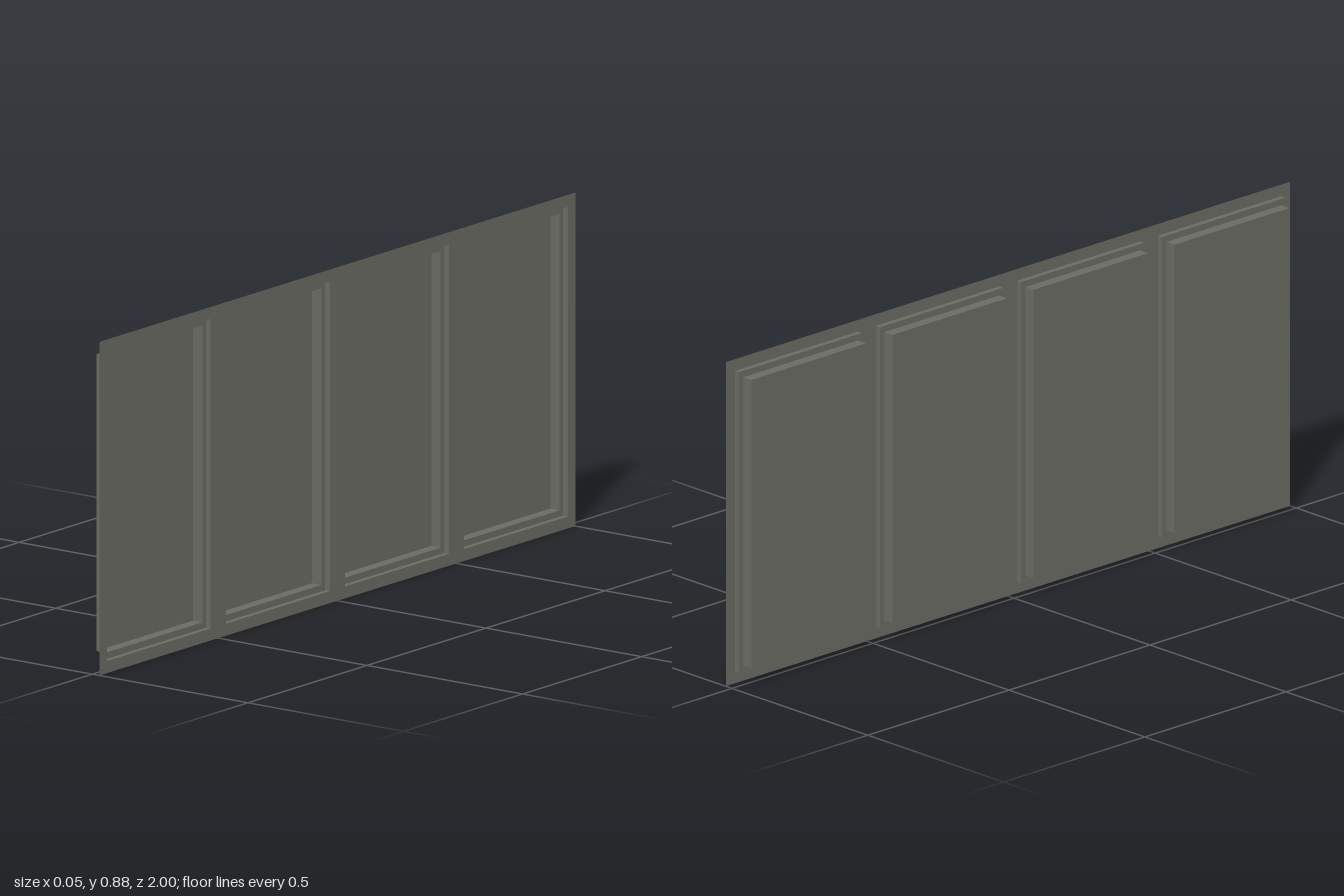
import * as THREE from 'three';

const W = 2, H = 0.877;                 // sheet length and height
const FACE = 0.0225, LEDGE = 0.0075, BACK = -0.0225; // depths along x
const OUT = [0.218, 0.407], INN = [0.203, 0.39];     // half sizes of the two steps
const CENTRES = [-0.75, -0.25, 0.25, 0.75];

// rectangle corners, counter-clockwise
const corners = ([hw, hh], cx = 0) =>
  [[-hw, -hh], [hw, -hh], [hw, hh], [-hw, hh]].map(([x, y]) => new THREE.Vector2(cx + x, y));

// flat sheet in the xy plane with rectangular holes
function sheet(half, holes = []) {
  const shape = new THREE.Shape(corners(half));
  for (const [size, cx] of holes) shape.holes.push(new THREE.Path(corners(size, cx)));
  return new THREE.ShapeGeometry(shape);
}

// four walls facing into a rectangular recess
function walls(half, zBack, zFront) {
  const c = corners(half), pos = [];
  for (let i = 0; i < 4; i++) {
    const a = c[i], b = c[(i + 1) % 4];
    const q = [[a, zBack], [a, zFront], [b, zFront], [b, zBack]];
    for (const k of [0, 2, 1, 0, 3, 2]) pos.push(q[k][0].x, q[k][0].y, q[k][1]);
  }
  const g = new THREE.BufferGeometry();
  g.setAttribute('position', new THREE.Float32BufferAttribute(pos, 3));
  g.computeVertexNormals();
  return g;
}

export function createModel() {
  const paint = new THREE.MeshStandardMaterial({ color: 0x6b6b64, side: THREE.DoubleSide });
  paint.name = 'warm grey';
  const body = new THREE.Group();
  body.name = 'panelledWall';
  const add = (parent, name, geometry, z = 0) => {
    const m = new THREE.Mesh(geometry, paint);
    m.name = name;
    m.position.z = z;
    parent.add(m);
  };

  // face frame with four openings
  add(body, 'faceFrame', sheet([W / 2, H / 2], CENTRES.map(c => [OUT, c])), FACE);

  // stepped recess behind each opening
  CENTRES.forEach((c, i) => {
    const recess = new THREE.Group();
    recess.name = `recess${i + 1}`;
    recess.position.x = c;
    add(recess, 'outerWalls', walls(OUT, LEDGE, FACE));
    add(recess, 'ledge', sheet(OUT, [[INN, 0]]), LEDGE);
    add(recess, 'innerWalls', walls(INN, BACK, LEDGE));
    add(recess, 'backPanel', sheet(INN), BACK);
    body.add(recess);
  });

  // turn the face towards +x and stand it on the ground
  body.rotation.y = Math.PI / 2;
  body.position.y = H / 2;
  const model = new THREE.Group();
  model.name = 'model';
  model.add(body);
  return model;
}
